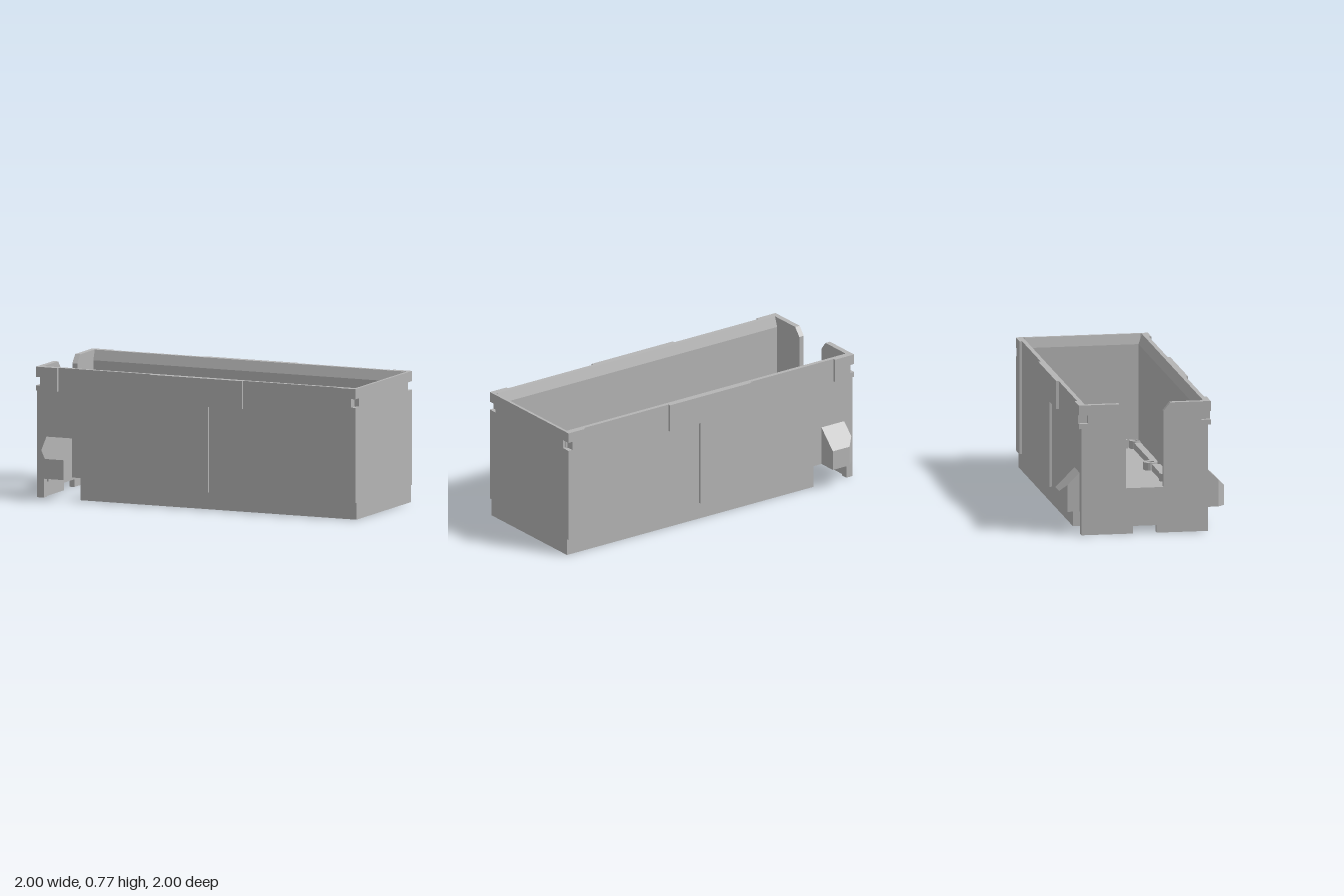
import * as THREE from 'three';

const grey = new THREE.MeshStandardMaterial({ color: 0xb4b4b4 });
grey.name = 'light grey plastic';

// Body is modelled along x, then turned 45 degrees about y.
const U0 = -1.03, U1 = 1.022, H = 0.77, N0 = 0.66, N1 = 0.71;

function toShape(points) {
  return new THREE.Shape(points.map(([a, b]) => new THREE.Vector2(a, b)));
}

export function createModel() {
  const model = new THREE.Group();
  const body = new THREE.Group();
  body.name = 'openCase';
  body.rotation.y = -Math.PI / 4;
  model.add(body);

  function add(name, geometry) {
    const mesh = new THREE.Mesh(geometry, grey);
    mesh.name = name;
    body.add(mesh);
    return mesh;
  }
  function box(name, x0, x1, y0, y1, z0, z1) {
    const g = new THREE.BoxGeometry(x1 - x0, y1 - y0, z1 - z0);
    g.translate((x0 + x1) / 2, (y0 + y1) / 2, (z0 + z1) / 2);
    return add(name, g);
  }
  // Extrude an (x, y) outline between two distances from the centre line.
  function sidePlate(points, inner, outer, s) {
    const g = new THREE.ExtrudeGeometry(toShape(points), { depth: outer - inner, bevelEnabled: false });
    g.translate(0, 0, s > 0 ? inner : -outer);
    return g;
  }
  // Extrude a (z, y) outline between two x positions.
  function endPlate(points, x0, x1) {
    const g = new THREE.ExtrudeGeometry(toShape(points.map(([z, y]) => [-z, y])), { depth: x1 - x0, bevelEnabled: false });
    g.rotateY(Math.PI / 2);
    g.translate(x0, 0, 0);
    return g;
  }
  // Lift the outer top edge of an inner wall layer to form the sloped lip.
  function slopeLip(g, isOuter) {
    const p = g.attributes.position;
    for (let i = 0; i < p.count; i++) {
      if (p.getY(i) > N1 - 0.001 && isOuter(p.getX(i), p.getZ(i))) p.setY(i, H);
    }
    g.computeVertexNormals();
    return g;
  }

  for (const s of [1, -1]) {
    // Long walls, with corner latch notches and an opening near the back foot
    add('sideWall', sidePlate([
      [U0, 0], [-0.985, 0], [-0.985, 0.13], [-0.75, 0.13], [-0.75, 0],
      [U1, 0], [U1, N0], [0.995, N0], [0.995, N1], [U1, N1], [U1, H],
      [U0, H], [U0, N1], [-1.003, N1], [-1.003, N0], [U0, N0]], 0.35, 0.375, s));
    add('sideWallLining', slopeLip(sidePlate([
      [-1.0, 0], [-0.985, 0], [-0.985, 0.13], [-0.75, 0.13], [-0.75, 0],
      [0.993, 0], [0.993, N1], [-1.0, N1]], 0.33, 0.35, s), (x, z) => Math.abs(z) > 0.349));

    // Raised outer panels
    add('centrePanel', sidePlate([
      [-0.075, 0.1], [0.075, 0.1], [0.075, 0.605], [0.293, 0.605],
      [0.293, H], [-0.293, H], [-0.293, 0.605], [-0.075, 0.605]], 0.375, 0.39, s));
    add('frontCornerPanel', sidePlate([
      [0.903, 0.1], [U1, 0.1], [U1, N0], [0.995, N0], [0.995, N1],
      [U1, N1], [U1, H], [0.903, H]], 0.375, 0.39, s));
    add('backCornerPanel', sidePlate([
      [U0, 0.63], [-0.893, 0.63], [-0.893, H], [U0, H], [U0, N1],
      [-1.003, N1], [-1.003, N0], [U0, N0]], 0.375, 0.39, s));

    // Hook lug with chamfered corner and sloping top
    const plan = toShape([
      [-0.969, -0.365 * s], [-0.969, -0.446 * s], [-0.926, -0.488 * s],
      [-0.806, -0.488 * s], [-0.806, -0.365 * s]]);
    const lug = new THREE.ExtrudeGeometry(plan, { depth: 0.23, bevelEnabled: false });
    lug.rotateX(-Math.PI / 2);
    const p = lug.attributes.position;
    for (let i = 0; i < p.count; i++) {
      p.setY(i, p.getY(i) > 0.1 ? 0.36 - (Math.abs(p.getZ(i)) - 0.375) : 0.13);
    }
    lug.computeVertexNormals();
    add('sideLug', lug);

    // Inner ledge strips between the screw posts
    for (const [a, b, inner] of [[-0.75, -0.62, 0.28], [-0.51, -0.08, 0.3], [0.05, 0.28, 0.28], [0.38, 0.92, 0.29]]) {
      box('sideLedge', a, b, 0.09, 0.14, s > 0 ? inner : -0.34, s > 0 ? 0.34 : -inner);
    }
  }

  // Front end wall and its lining
  add('frontWall', endPlate([
    [-0.35, 0], [0.35, 0], [0.35, N0], [0.336, N0], [0.336, N1], [0.35, N1], [0.35, H],
    [-0.35, H], [-0.35, N1], [-0.336, N1], [-0.336, N0], [-0.35, N0]], 1.005, U1));
  add('frontWallLining', slopeLip(
    endPlate([[-0.34, 0], [0.34, 0], [0.34, N1], [-0.34, N1]], 0.992, 1.005), (x) => x > 1.0));
  box('frontLedge', 0.955, 0.995, 0.09, 0.15, -0.26, 0.26);

  // Back end wall with deep cable slot and small lower notch
  add('backWall', endPlate([
    [-0.35, 0], [-0.07, 0], [-0.07, 0.045], [0.07, 0.045], [0.07, 0], [0.35, 0],
    [0.35, N0], [0.336, N0], [0.336, N1], [0.35, N1], [0.35, H],
    [0.15, H], [0.11, 0.72], [0.11, 0.27], [-0.11, 0.27], [-0.11, 0.72], [-0.15, H],
    [-0.35, H], [-0.35, N1], [-0.336, N1], [-0.336, N0], [-0.35, N0]], U0, -0.998));
  box('backLedge', -1.0, -0.975, 0.09, 0.17, -0.335, 0.335);

  // Screw post positions, mirrored across the long axis
  const posts = [];
  for (const [x, z] of [[-0.566, 0.283], [-0.014, 0.311], [0.329, 0.28], [0.969, 0.311]]) {
    posts.push([x, z], [x, -z]);
  }
  const hole = (x, y, r) => new THREE.Path().absarc(x, y, r, 0, Math.PI * 2, true);

  // Floor plate with tabs on its back edge and holes at the posts
  const floor = toShape([
    [-0.75, -0.335], [0.994, -0.335], [0.994, 0.335], [-0.75, 0.335], [-0.75, 0.24],
    [-0.73, 0.24], [-0.73, 0.08], [-0.75, 0.08], [-0.75, -0.08], [-0.73, -0.08],
    [-0.73, -0.24], [-0.75, -0.24]]);
  for (const [x, z] of posts) floor.holes.push(hole(x, z, 0.022));
  const floorGeo = new THREE.ExtrudeGeometry(floor, { depth: 0.03, bevelEnabled: false, curveSegments: 12 });
  floorGeo.rotateX(-Math.PI / 2);
  floorGeo.translate(0, 0.07, 0);
  add('floor', floorGeo);

  // Hollow screw posts
  const postShape = new THREE.Shape().absarc(0, 0, 0.042, 0, Math.PI * 2, false);
  postShape.holes.push(hole(0, 0, 0.022));
  const postGeo = new THREE.ExtrudeGeometry(postShape, { depth: 0.145, bevelEnabled: false, curveSegments: 12 });
  postGeo.rotateX(-Math.PI / 2);
  for (const [x, z] of posts) add('screwPost', postGeo).position.set(x, 0.001, z);

  // Ribs under the floor
  box('backRib', -0.75, -0.72, 0, 0.08, -0.335, 0.335);
  box('middleRib', -0.029, 0.001, 0, 0.08, -0.28, 0.28);

  return model;
}
